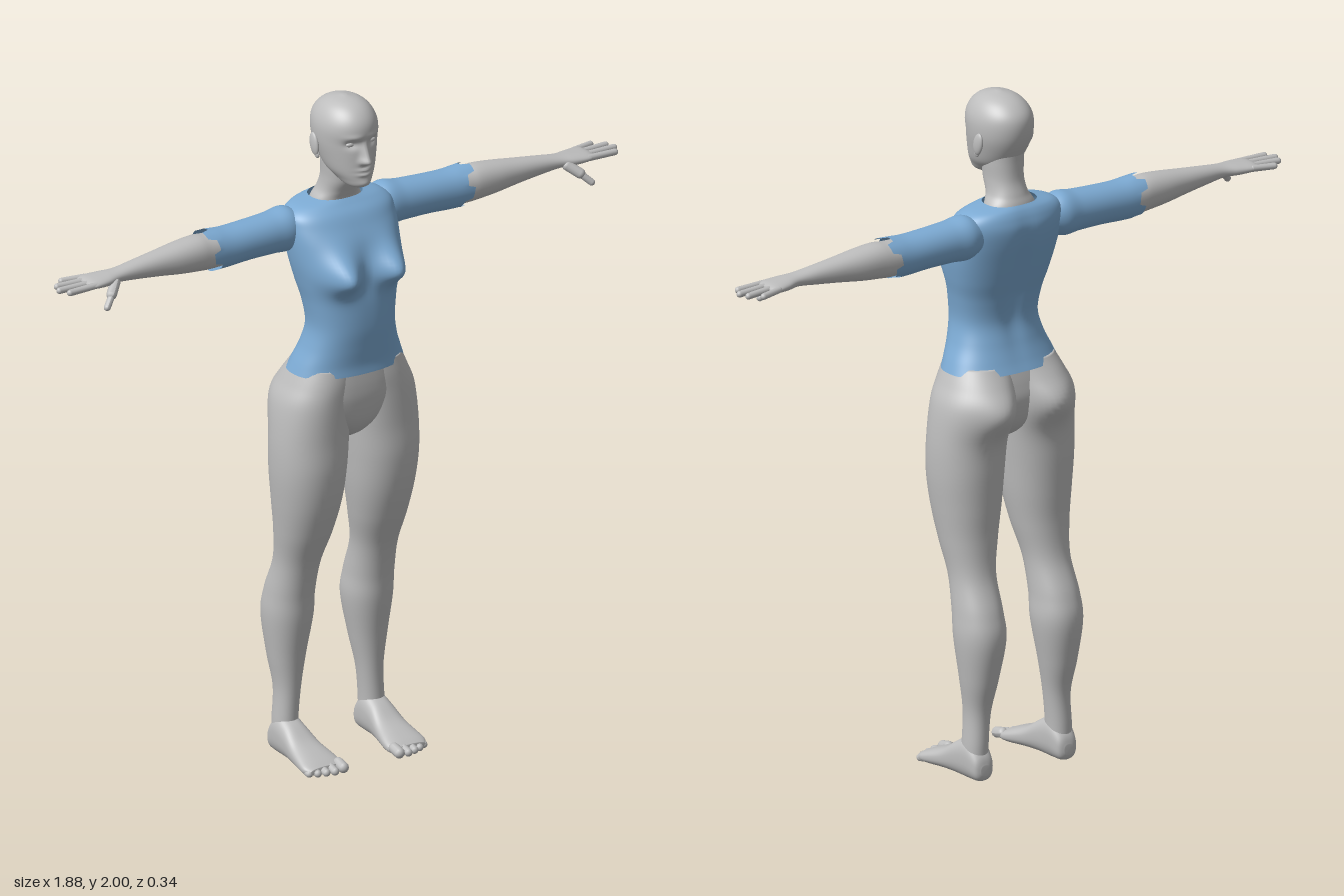
import * as THREE from 'three';

const skin = new THREE.MeshStandardMaterial({ color: 0xbdbdbd });
skin.name = 'plain grey skin';
const cloth = new THREE.MeshStandardMaterial({ color: 0x7caad3, side: THREE.DoubleSide });
cloth.name = 'blue shirt';

const bump = (d, w) => Math.exp(-((d / w) ** 2));
const clamp = THREE.MathUtils.clamp;

// Upward loft through sections [y, x0, x1, z0, z1]; power shapes the cross-section
function loft(sections, { rings = 44, seg = 48, power = 2.2, caps = true, deform } = {}) {
  const pos = [], index = [], last = sections.length - 1;
  const sample = (s) => {
    const i = Math.min(Math.floor(s), last - 1), f = s - i;
    const at = (k) => sections[clamp(k, 0, last)];
    return at(i).map((b, k) => {
      const a = at(i - 1)[k], c = at(i + 1)[k], d = at(i + 2)[k];
      return 0.5 * (2 * b + (c - a) * f + (2 * a - 5 * b + 4 * c - d) * f * f + (3 * b - a - 3 * c + d) * f ** 3);
    });
  };
  const round = (v) => Math.sign(v) * Math.abs(v) ** (2 / power);
  const v = new THREE.Vector3();
  for (let r = 0; r <= rings; r++) {
    const [y, x0, x1, z0, z1] = sample((r / rings) * last);
    for (let j = 0; j < seg; j++) {
      const a = (j / seg) * Math.PI * 2;
      v.set((x0 + x1) / 2 + round(Math.cos(a)) * (x1 - x0) / 2, y, (z0 + z1) / 2 + round(Math.sin(a)) * (z1 - z0) / 2);
      if (deform) deform(v, r / rings, a);
      pos.push(v.x, v.y, v.z);
      if (r === rings) continue;
      const p = r * seg + j, q = r * seg + (j + 1) % seg;
      index.push(p, p + seg, q, q, p + seg, q + seg);
    }
  }
  if (caps) {
    for (const [s, base] of [[0, 0], [last, rings * seg]]) {
      const [y, x0, x1, z0, z1] = sections[s], c = pos.length / 3;
      pos.push((x0 + x1) / 2, y, (z0 + z1) / 2);
      for (let j = 0; j < seg; j++) {
        const p = base + j, q = base + (j + 1) % seg;
        index.push(...(s ? [c, q, p] : [c, p, q]));
      }
    }
  }
  const g = new THREE.BufferGeometry();
  g.setAttribute('position', new THREE.Float32BufferAttribute(pos, 3));
  g.setIndex(index);
  g.computeVertexNormals();
  return g;
}

// Loft along x through sections [x, yTop, yBottom, z0, z1]
const loftX = (s, opt) => loft(s.map(([x, t, b, z0, z1]) => [x, -t, -b, z0, z1]), opt).rotateZ(-Math.PI / 2).scale(1, 1, 1)
  .applyMatrix4(new THREE.Matrix4());
// Loft along z through sections [z, x0, x1, yBottom, yTop]
const loftZ = (s, opt) => loft(s.map(([z, x0, x1, b, t]) => [z, x0, x1, -t, -b]), opt).rotateX(Math.PI / 2);

// Rounded digit between two points
function digit(a, b, r) {
  const A = new THREE.Vector3(...a), B = new THREE.Vector3(...b), d = B.clone().sub(A);
  const g = new THREE.CapsuleGeometry(r, Math.max(d.length() - r, 0.001), 6, 12);
  g.applyQuaternion(new THREE.Quaternion().setFromUnitVectors(new THREE.Vector3(0, 1, 0), d.normalize()));
  const m = A.add(B).multiplyScalar(0.5);
  return g.translate(m.x, m.y, m.z);
}

const ball = (sx, sy, sz, x, y, z, tilt = 0) =>
  new THREE.SphereGeometry(1, 24, 16).scale(sx, sy, sz).rotateX(tilt).translate(x, y, z);

// Mirror in x, keeping faces outward
function mirrored(g) {
  const m = g.clone().scale(-1, 1, 1), ix = m.index.array;
  for (let i = 0; i < ix.length; i += 3) [ix[i], ix[i + 1]] = [ix[i + 1], ix[i]];
  m.computeVertexNormals();
  return m;
}

export function createModel() {
  const model = new THREE.Group();
  model.name = 'figure';
  const add = (name, g, mat = skin) => {
    const mesh = new THREE.Mesh(g, mat);
    mesh.name = name;
    model.add(mesh);
  };
  const pair = (name, g, mat) => {
    add('left' + name, g, mat);
    add('right' + name, mirrored(g), mat);
  };
  const sym = (rows) => rows.map(([y, w, z0, z1]) => [y, -w, w, z0, z1]);

  // Head with sculpted face
  add('head', loft(sym([
    [1.746, 0.012, 0.055, 0.08], [1.755, 0.034, 0.015, 0.1], [1.775, 0.05, -0.03, 0.106], [1.80, 0.066, -0.064, 0.105],
    [1.84, 0.078, -0.092, 0.104], [1.88, 0.086, -0.109, 0.103], [1.92, 0.087, -0.114, 0.107], [1.95, 0.079, -0.106, 0.099],
    [1.975, 0.062, -0.082, 0.078], [1.991, 0.038, -0.05, 0.048], [2.0, 0.006, -0.008, 0.006],
  ]), {
    rings: 90, seg: 96, power: 2.05,
    deform(v) {
      if (v.z < 0.03) return;
      const { x, y } = v, ax = Math.abs(x), t = clamp((1.893 - y) / 0.06, 0, 1);
      const under = clamp((y - 1.818) / 0.014, 0, 1);
      v.z += (0.027 * t * under) * bump(x, 0.009 + 0.005 * t);
      v.z += 0.006 * under * t * bump(ax - 0.012, 0.007) * bump(y - 1.835, 0.01);
      v.z -= 0.011 * bump(ax - 0.034, 0.019) * bump(y - 1.884, 0.012);
      v.z += 0.004 * bump(ax - 0.034, 0.024) * bump(y - 1.906, 0.008);
      v.z += 0.007 * bump(x, 0.021) * (bump(y - 1.807, 0.005) + bump(y - 1.793, 0.006));
      v.z += 0.005 * bump(x, 0.022) * bump(y - 1.764, 0.011);
    },
  }));
  pair('Eye', ball(0.015, 0.008, 0.009, 0.034, 1.883, 0.08));
  pair('Ear', ball(0.009, 0.034, 0.019, 0.088, 1.862, -0.022, -0.25));
  pair('EarLobe', ball(0.006, 0.012, 0.01, 0.085, 1.833, -0.012));
  add('neck', loft(sym([
    [1.63, 0.09, -0.11, 0.01], [1.68, 0.075, -0.106, 0.008], [1.71, 0.058, -0.096, 0.02],
    [1.75, 0.053, -0.084, 0.04], [1.8, 0.055, -0.082, 0.045], [1.85, 0.055, -0.085, 0.03],
  ])));

  // Shirt body with bust and spine groove
  add('shirtBody', loft(sym([
    [1.19, 0.176, -0.116, 0.114], [1.22, 0.164, -0.102, 0.113], [1.27, 0.143, -0.084, 0.119], [1.33, 0.130, -0.072, 0.125],
    [1.40, 0.138, -0.084, 0.124], [1.46, 0.152, -0.103, 0.117], [1.52, 0.164, -0.12, 0.11], [1.58, 0.171, -0.135, 0.094],
    [1.625, 0.172, -0.14, 0.07], [1.655, 0.165, -0.134, 0.05], [1.676, 0.135, -0.124, 0.027], [1.689, 0.08, -0.112, 0.012],
  ]), {
    rings: 70, seg: 96, power: 2.35, caps: false,
    deform(v) {
      const ax = Math.abs(v.x), dy = v.y - 1.497;
      if (v.z > 0) v.z += 0.07 * clamp(v.z / 0.05, 0, 1) * bump(ax - 0.083, 0.05) * bump(dy, dy < 0 ? 0.046 : 0.062);
      else v.z += 0.014 * bump(v.x, 0.03) * bump(v.y - 1.45, 0.16);
    },
  }), cloth);
  // Sleeves with a ragged cuff
  pair('Sleeve', loftX([
    [0.12, 1.655, 1.57, -0.105, -0.01], [0.165, 1.676, 1.548, -0.118, 0.004], [0.22, 1.669, 1.55, -0.114, 0.003],
    [0.3, 1.664, 1.55, -0.112, 0.002], [0.37, 1.662, 1.546, -0.111, 0.002], [0.425, 1.667, 1.545, -0.111, 0.004],
  ], {
    power: 2.1, caps: false,
    deform(v, t, a) {
      if (t > 0.9) v.y += (t - 0.9) * 10 * (0.012 * Math.sign(Math.sin(a * 5 + 0.6)) - Math.cos(a) * 0.012);
    },
  }), cloth);

  // Arms and palms
  pair('Arm', loftX([
    [0.15, 1.66, 1.56, -0.105, -0.005], [0.3, 1.656, 1.558, -0.105, -0.005], [0.42, 1.655, 1.553, -0.104, -0.004],
    [0.47, 1.659, 1.556, -0.102, -0.002], [0.53, 1.654, 1.562, -0.097, -0.004], [0.6, 1.645, 1.572, -0.087, -0.01],
    [0.68, 1.635, 1.582, -0.076, -0.015], [0.74, 1.627, 1.589, -0.071, -0.014], [0.785, 1.624, 1.589, -0.083, -0.004],
    [0.83, 1.62, 1.593, -0.091, -0.001], [0.85, 1.613, 1.599, -0.08, -0.012],
  ], { rings: 60 }));
  // Fingers: [base z, tip x, tip z]
  [[-0.081, 0.893, -0.097], [-0.059, 0.926, -0.069], [-0.035, 0.936, -0.041], [-0.012, 0.92, -0.011]].forEach(([z, tx, tz], i) => {
    pair('Finger' + (i + 1), digit([0.82, 1.607, z], [tx, 1.605, tz], 0.0095));
  });
  pair('ThumbBase', digit([0.755, 1.602, -0.022], [0.792, 1.572, 0.01], 0.015));
  pair('Thumb', digit([0.782, 1.58, 0.004], [0.817, 1.546, 0.026], 0.01));

  // Legs rising into hips and buttocks
  pair('Leg', loft([
    [0.03, 0.108, 0.182, -0.125, -0.04], [0.1, 0.11, 0.18, -0.126, -0.044], [0.2, 0.101, 0.176, -0.127, -0.043],
    [0.3, 0.083, 0.19, -0.15, -0.034], [0.42, 0.063, 0.204, -0.17, -0.014], [0.5, 0.065, 0.201, -0.155, -0.004],
    [0.6, 0.063, 0.195, -0.116, 0.02], [0.7, 0.042, 0.207, -0.106, 0.06], [0.8, 0.024, 0.22, -0.11, 0.09],
    [0.9, 0.013, 0.229, -0.115, 0.104], [1.0, 0.004, 0.228, -0.118, 0.103], [1.1, -0.004, 0.215, -0.13, 0.105],
    [1.16, -0.012, 0.189, -0.118, 0.105], [1.21, -0.02, 0.165, -0.095, 0.1],
  ], {
    rings: 90, power: 2.15,
    deform(v) {
      const dy = v.y - 1.085, k = clamp((-v.z - 0.01) / 0.06, 0, 1);
      v.z -= 0.044 * k * bump(v.x - 0.09, 0.08) * bump(dy, dy < 0 ? 0.065 : 0.07);
    },
  }));
  // Belly joining the legs at the front
  add('pelvis', loft(sym([
    [0.975, 0.015, -0.03, 0.035], [1.0, 0.05, -0.07, 0.07], [1.04, 0.11, -0.1, 0.094], [1.1, 0.17, -0.115, 0.106],
    [1.15, 0.175, -0.11, 0.108], [1.21, 0.163, -0.095, 0.104],
  ]), { power: 2.4 }));

  // Feet and toes
  pair('Foot', loftZ([
    [-0.136, 0.13, 0.16, 0.02, 0.05], [-0.125, 0.113, 0.177, 0.003, 0.08], [-0.085, 0.104, 0.186, 0, 0.12],
    [-0.035, 0.101, 0.189, 0.001, 0.105], [0.02, 0.091, 0.196, 0.002, 0.07], [0.07, 0.081, 0.203, 0, 0.05],
    [0.1, 0.08, 0.204, 0.001, 0.038], [0.12, 0.09, 0.192, 0.006, 0.028],
  ], { power: 2.5 }));
  [[0.094, 0.152, 0.016], [0.123, 0.15, 0.012], [0.148, 0.143, 0.0115], [0.171, 0.134, 0.011], [0.192, 0.122, 0.011]].forEach(([x, z, r], i) => {
    pair('Toe' + (i + 1), digit([x, r + 0.01, z - 0.05], [x, r + 0.001, z - r * 0.6], r));
  });
  return model;
}
